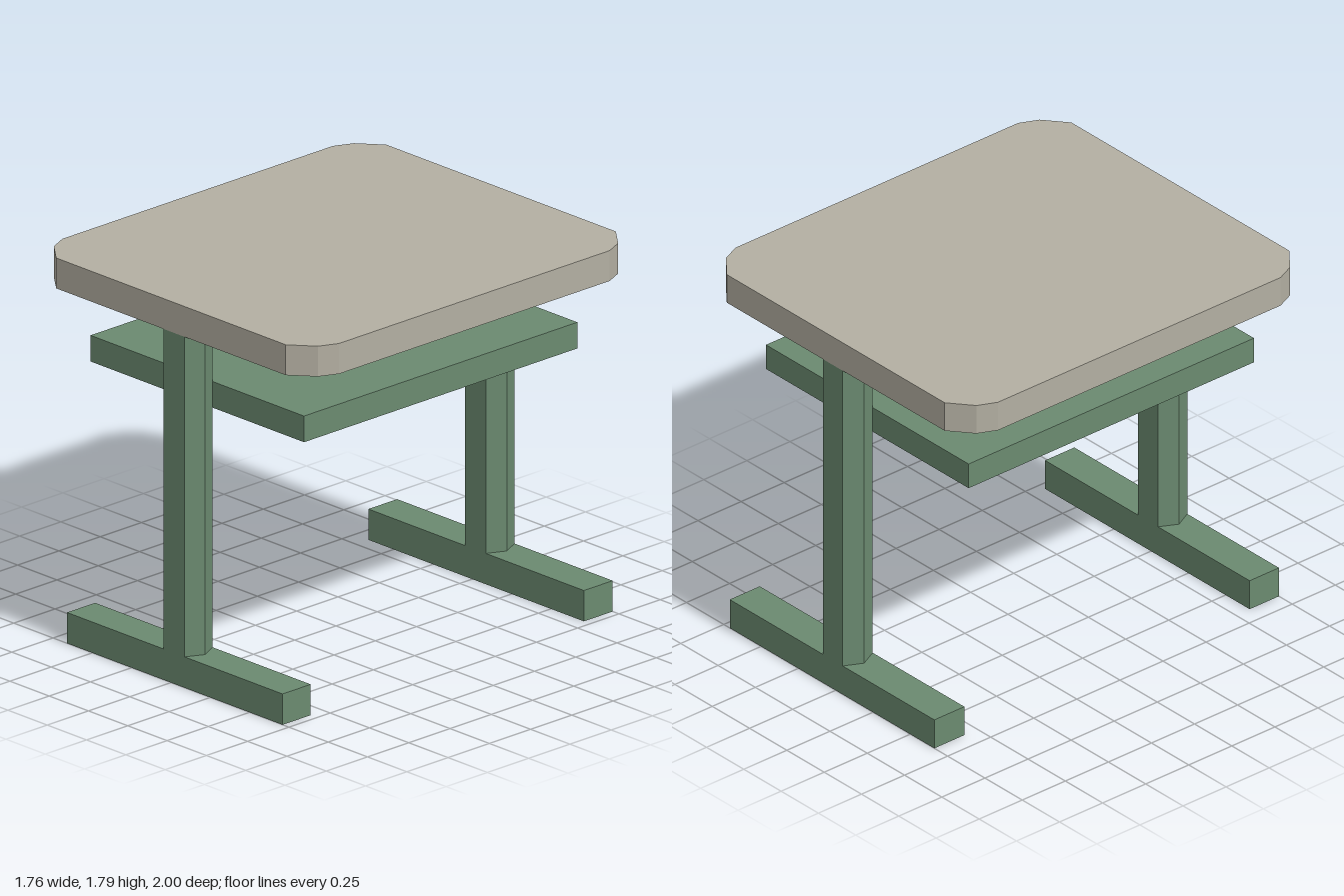
import * as THREE from 'three';

export function createModel() {
  const group = new THREE.Group();
  const green = new THREE.MeshStandardMaterial({ color: 0x6b8a70, flatShading: true });
  const stone = new THREE.MeshStandardMaterial({ color: 0xb3afa2, flatShading: true });

  const add = (name, geometry, material) => {
    const mesh = new THREE.Mesh(geometry, material);
    mesh.name = name;
    group.add(mesh);
  };

  // Box given by its limits on each axis
  const box = (x0, x1, y0, y1, z0, z1) =>
    new THREE.BoxGeometry(x1 - x0, y1 - y0, z1 - z0)
      .translate((x0 + x1) / 2, (y0 + y1) / 2, (z0 + z1) / 2);

  // Upright prism from an outline of [x, z] points
  const prism = (outline, y0, y1) => {
    const shape = new THREE.Shape(outline.map(([x, z]) => new THREE.Vector2(x, -z)));
    return new THREE.ExtrudeGeometry(shape, { depth: y1 - y0, bevelEnabled: false })
      .rotateX(-Math.PI / 2).translate(0, y0, 0);
  };

  // Table top with faceted corners, one corner mirrored to all four
  const corner = [[0.88, 0.82], [0.84, 0.91], [0.73, 1]];
  const mirror = (sx, sz) => corner.map(([x, z]) => [sx * x, sz * z]);
  add('tableTop', prism([
    ...mirror(1, 1), ...mirror(-1, 1).reverse(),
    ...mirror(-1, -1), ...mirror(1, -1).reverse(),
  ], 1.65, 1.793), stone);

  // Shelf between the posts
  add('shelf', box(-0.69, 0.668, 1.272, 1.395, -0.826, 0.83), green);

  // Each end: a long foot and a six-sided post
  for (const [end, z0, z1] of [['front', 0.83, 1], ['back', -1, -0.826]]) {
    const zm = (z0 + z1) / 2;
    add(end + 'Foot', box(-0.661, 0.71, 0, 0.145, z0, z1), green);
    add(end + 'Post', prism([
      [-0.047, z1], [0.086, z1], [0.128, zm], [0.086, z0], [-0.047, z0], [-0.09, zm],
    ], 0.145, 1.65), green);
  }

  return group;
}
